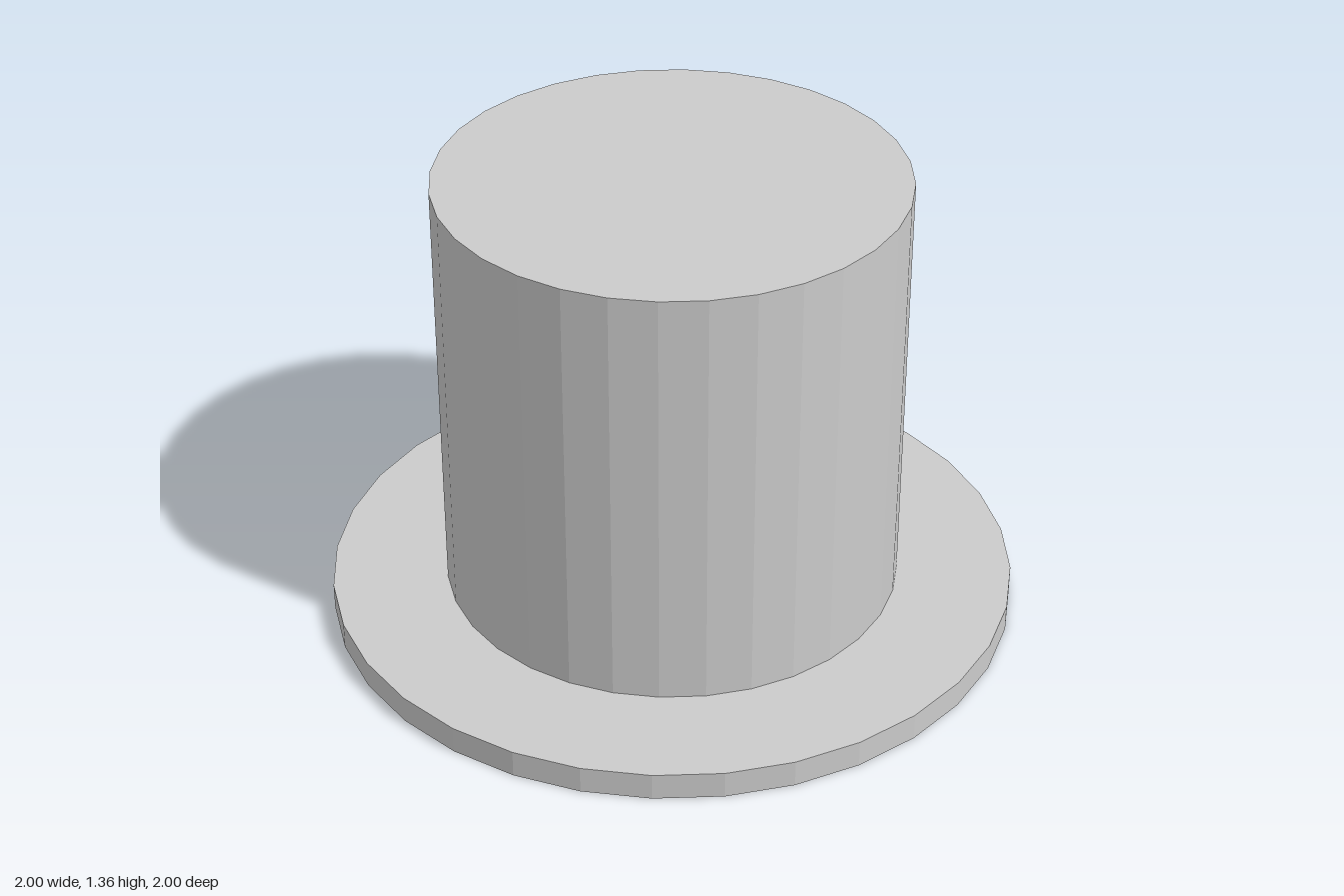
import * as THREE from 'three';

const SIDES = 32;

export function createModel() {
  const hat = new THREE.Group();
  hat.name = 'topHat';
  const material = new THREE.MeshStandardMaterial({ color: 0xcccccc, flatShading: true });

  // Upright faceted disc spanning two heights
  const addDisc = (name, radius, bottom, top) => {
    const geometry = new THREE.CylinderGeometry(radius, radius, top - bottom, SIDES);
    const mesh = new THREE.Mesh(geometry, material);
    mesh.name = name;
    mesh.position.y = (bottom + top) / 2;
    hat.add(mesh);
  };

  // Wide flat brim, with the tall crown standing on it
  addDisc('brim', 1, 0, 0.08);
  addDisc('crown', 0.665, 0.08, 1.355);

  return hat;
}
